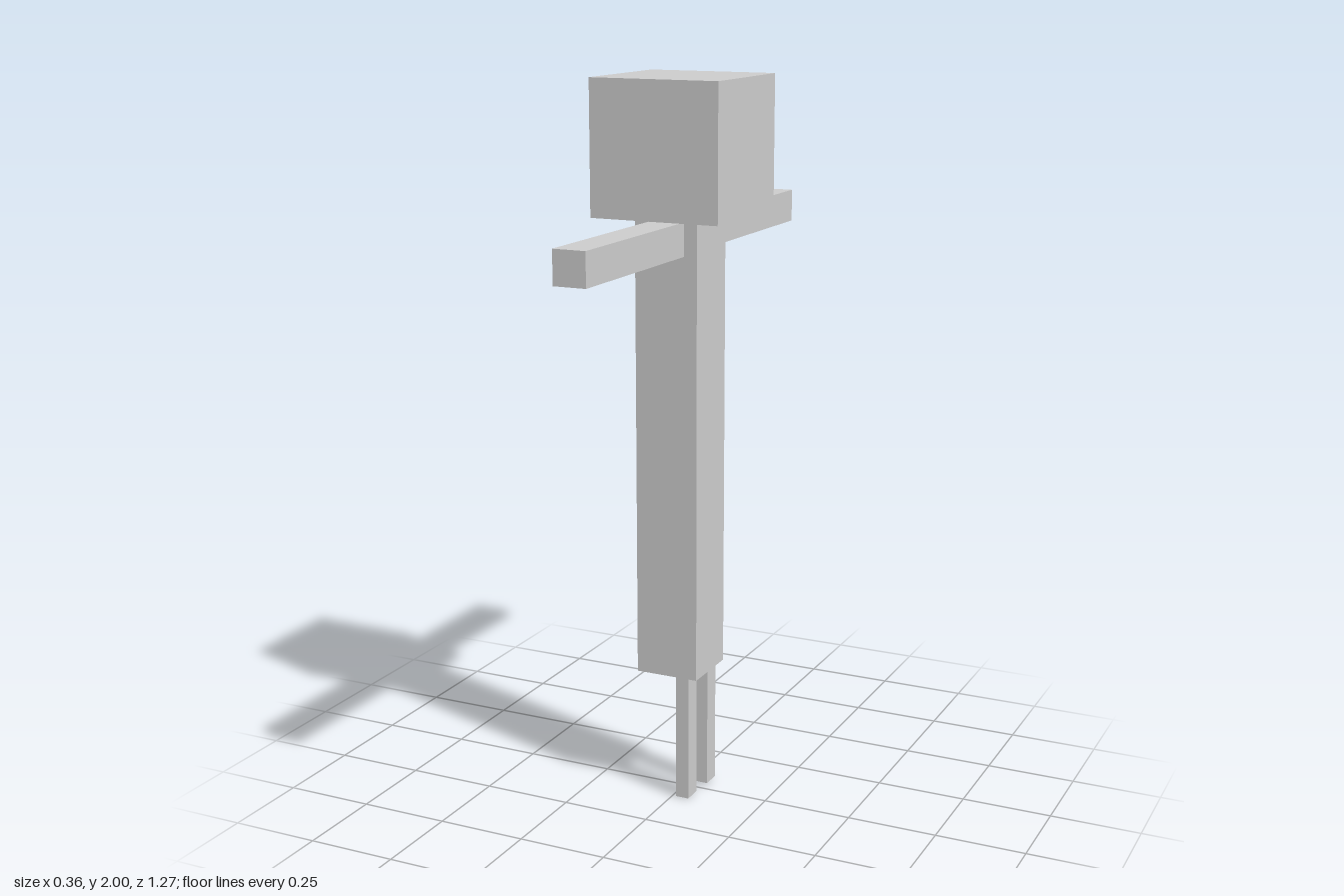
import * as THREE from 'three';

const material = new THREE.MeshStandardMaterial({ color: 0xcccccc, flatShading: true });

// Box given by its extents along each axis
function block(name, [x0, x1], [y0, y1], [z0, z1]) {
  const mesh = new THREE.Mesh(new THREE.BoxGeometry(x1 - x0, y1 - y0, z1 - z0), material);
  mesh.position.set((x0 + x1) / 2, (y0 + y1) / 2, (z0 + z1) / 2);
  mesh.name = name;
  return mesh;
}

export function createModel() {
  const model = new THREE.Group();
  model.name = 'blockFigure';
  model.add(
    // Head resting on a tall, narrow torso
    block('head', [-0.183, 0.181], [1.64, 2], [-0.175, 0.187]),
    block('torso', [-0.1, 0.08], [0.365, 1.64], [-0.085, 0.095]),
    // Arms stretched out to either side, slightly offset from each other
    block('frontArm', [-0.047, 0.043], [1.54, 1.63], [0.095, 0.633]),
    block('backArm', [-0.041, 0.047], [1.545, 1.635], [-0.633, -0.085]),
    // Thin legs, one a touch shorter
    block('frontLeg', [0.011, 0.049], [0, 0.365], [0.026, 0.08]),
    block('backLeg', [0.025, 0.063], [0.01, 0.365], [-0.07, -0.016]),
  );
  return model;
}
